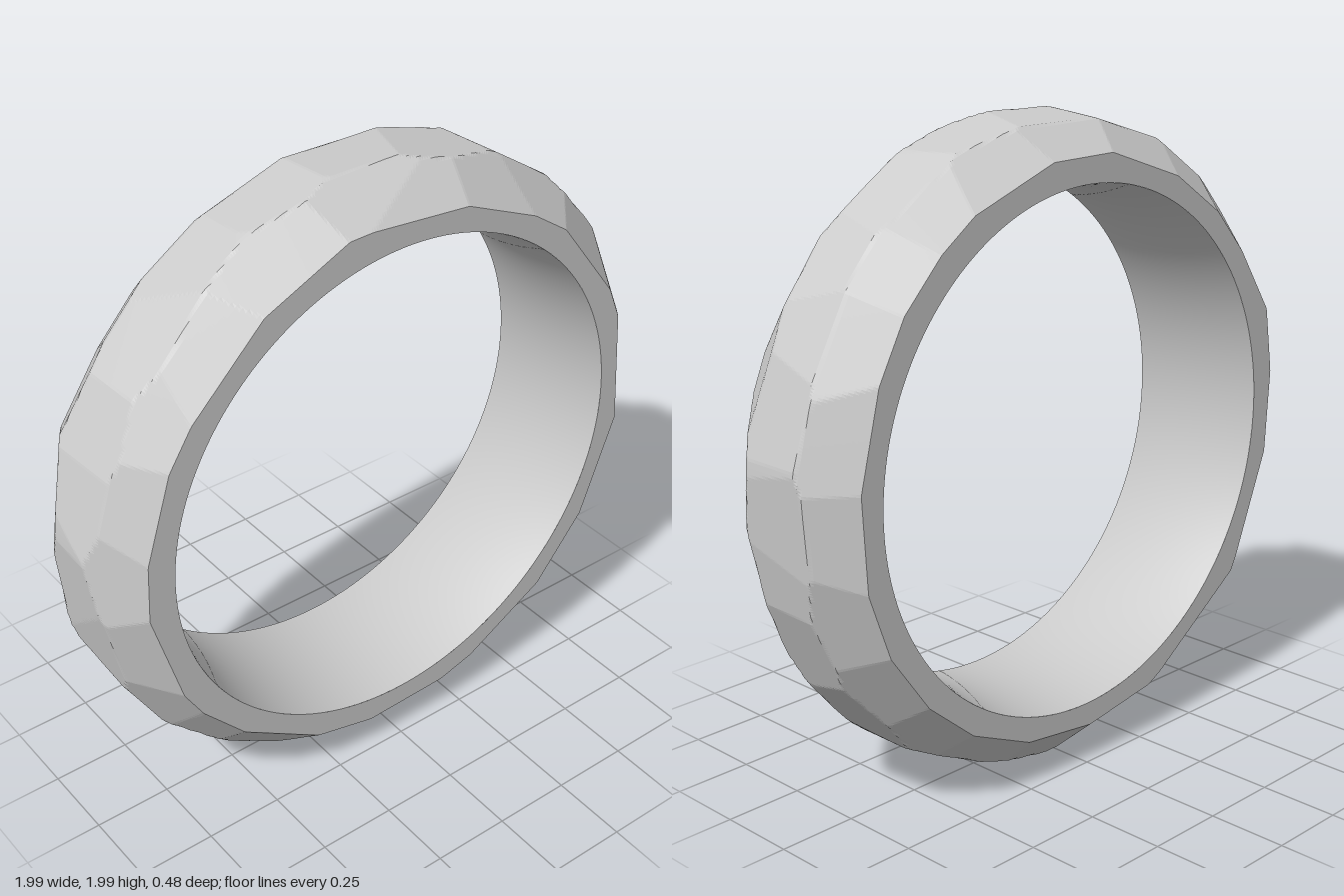
import * as THREE from 'three';

const HALF = 0.24;     // half width of the band
const EDGE_R = 0.805;  // bore radius at the faces
const BORE_R = 0.78;   // bore radius in the middle
const SEG = 720;

// small seeded generator, returns -1..1
let seed = 11;
const jitter = () => {
  seed = (seed * 16807) % 2147483647;
  return (seed / 2147483647) * 2 - 1;
};

// cutting planes for the hammered facets: a middle row and two sloping rows
function makePlanes() {
  const planes = [];
  const rows = [
    { z: 0, r: 0.986, tilt: 0, count: 24 },
    { z: 0.17, r: 0.936, tilt: 0.66, count: 23 },
    { z: -0.17, r: 0.936, tilt: -0.66, count: 23 },
  ];
  for (const row of rows) {
    for (let i = 0; i < row.count; i++) {
      const a = ((i + row.z * 2 + 0.28 * jitter()) / row.count) * Math.PI * 2;
      const yaw = a + 0.05 * jitter();
      const tilt = row.tilt + 0.1 * jitter();
      const r = row.r + 0.003 * jitter();
      const n = new THREE.Vector3(
        Math.cos(tilt) * Math.cos(yaw), Math.cos(tilt) * Math.sin(yaw), Math.sin(tilt));
      const p = new THREE.Vector3(r * Math.cos(a), r * Math.sin(a), row.z);
      planes.push({ n, d: n.dot(p) });
    }
  }
  return planes;
}

// outer radius at an angle and depth: the nearest cutting plane wins
function outerRadius(planes, a, z) {
  const c = Math.cos(a), s = Math.sin(a);
  let r = 1;
  for (const { n, d } of planes) {
    const k = n.x * c + n.y * s;
    if (k > 0.5) r = Math.min(r, (d - n.z * z) / k);
  }
  return r;
}

// grid surface from point(i, j); faces point along di x dj
function gridSurface(ni, nj, point) {
  const pos = [], index = [];
  for (let i = 0; i <= ni; i++) {
    for (let j = 0; j <= nj; j++) pos.push(...point(i, j));
  }
  for (let i = 0; i < ni; i++) {
    for (let j = 0; j < nj; j++) {
      const a = i * (nj + 1) + j, b = a + nj + 1;
      index.push(a, b, b + 1, a, b + 1, a + 1);
    }
  }
  const geo = new THREE.BufferGeometry();
  geo.setAttribute('position', new THREE.Float32BufferAttribute(pos, 3));
  geo.setIndex(index);
  const flat = geo.toNonIndexed();
  flat.computeVertexNormals();
  return flat;
}

export function createModel() {
  const ring = new THREE.Group();
  ring.name = 'hammeredRing';
  seed = 11;
  const planes = makePlanes();
  const flatMat = new THREE.MeshStandardMaterial({ color: 0xcccccc, flatShading: true });
  const smoothMat = new THREE.MeshStandardMaterial({ color: 0xcccccc });
  const angle = (i) => ((i % SEG) / SEG) * Math.PI * 2;
  const polar = (r, a, z) => [r * Math.cos(a), r * Math.sin(a), z];

  const add = (name, geo, mat) => {
    const mesh = new THREE.Mesh(geo, mat);
    mesh.name = name;
    mesh.position.y = 1;
    ring.add(mesh);
  };

  // faceted outside
  const rows = 40;
  add('hammeredSurface', gridSurface(SEG, rows, (i, j) => {
    const a = angle(i), z = -HALF + (2 * HALF * j) / rows;
    return polar(outerRadius(planes, a, z), a, z);
  }), flatMat);

  // flat side faces, following the facets on their outer edge
  const rim = (i, k, z) =>
    polar(k ? outerRadius(planes, angle(i), z) : EDGE_R, angle(i), z);
  add('frontFace', gridSurface(1, SEG, (k, i) => rim(i, k, HALF)), flatMat);
  add('backFace', gridSurface(SEG, 1, (i, k) => rim(i, k, -HALF)), flatMat);

  // smooth, slightly domed bore
  const profile = [];
  for (let j = 0; j <= 16; j++) {
    const t = 1 - j / 8;
    profile.push(new THREE.Vector2(BORE_R + (EDGE_R - BORE_R) * t * t, t * HALF));
  }
  add('bore', new THREE.LatheGeometry(profile, 180).rotateX(Math.PI / 2), smoothMat);

  return ring;
}
